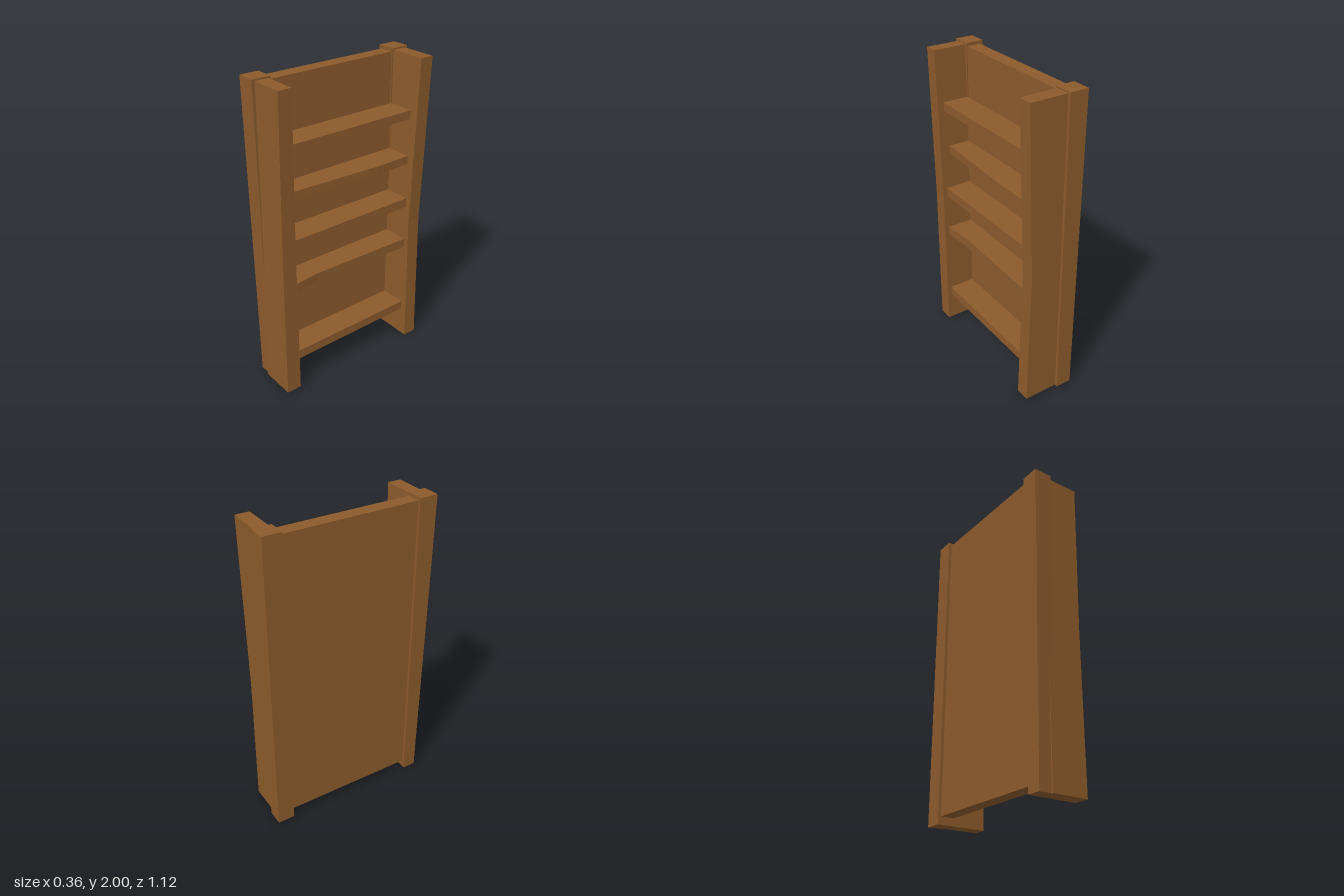
import * as THREE from 'three';

export function createModel() {
  const group = new THREE.Group();
  const wood = new THREE.MeshStandardMaterial({ color: 0x8b5a2b });
  wood.name = 'brownWood';

  function add(name, geometry) {
    const flat = geometry.toNonIndexed();
    flat.computeVertexNormals();
    const mesh = new THREE.Mesh(flat, wood);
    mesh.name = name;
    group.add(mesh);
  }

  // Upright timber from rectangular sections [y, xBack, xFront, zMin, zMax], bottom to top
  function upright(name, sections) {
    const n = sections.length - 1;
    const geo = new THREE.BoxGeometry(1, 1, 1, 1, n, 1);
    const p = geo.attributes.position;
    for (let i = 0; i < p.count; i++) {
      const [y, x0, x1, z0, z1] = sections[Math.round((p.getY(i) + 0.5) * n)];
      p.setXYZ(i, p.getX(i) < 0 ? x0 : x1, y, p.getZ(i) < 0 ? z0 : z1);
    }
    add(name, geo);
  }

  // Shelf whose front edge follows points [z, xFront], from right end to left end
  function shelf(name, y0, y1, edge) {
    const n = edge.length - 1;
    const geo = new THREE.BoxGeometry(1, 1, 1, 1, 1, n);
    const p = geo.attributes.position;
    for (let i = 0; i < p.count; i++) {
      const [z, x] = edge[Math.round((p.getZ(i) + 0.5) * n)];
      p.setXYZ(i, p.getX(i) < 0 ? -0.08 : x, p.getY(i) < 0 ? y0 : y1, z);
    }
    add(name, geo);
  }

  // Rear corner posts
  upright('leftPost', [
    [0, -0.18, -0.077, 0.44, 0.53],
    [2, -0.18, -0.062, 0.435, 0.555],
  ]);
  upright('rightPost', [
    [0, -0.18, -0.075, -0.56, -0.447],
    [2, -0.18, -0.062, -0.56, -0.44],
  ]);

  // Side boards with a slightly hollowed front edge
  upright('leftSide', [
    [0, -0.1, 0.133, 0.443, 0.542],
    [1, -0.1, 0.133, 0.446, 0.5385],
    [1.99, -0.1, 0.152, 0.449, 0.535],
  ]);
  upright('rightSide', [
    [0, -0.1, 0.152, -0.54, -0.448],
    [0.9, -0.1, 0.135, -0.54, -0.45],
    [1.99, -0.1, 0.176, -0.54, -0.45],
  ]);

  // Back panel
  upright('backPanel', [
    [0.05, -0.16, -0.07, -0.455, 0.455],
    [1.98, -0.16, -0.07, -0.455, 0.455],
  ]);

  // Shelves, two of them with a worn front edge
  const straight = [[-0.455, 0.105], [0.455, 0.105]];
  [
    [0.2, 0.26, straight],
    [0.7, 0.76, [[-0.455, 0.105], [0.25, 0.085], [0.455, 0.105]]],
    [1.0, 1.06, straight],
    [1.3, 1.355, [[-0.455, 0.1], [-0.2, 0.105], [0.455, 0.07]]],
    [1.6, 1.655, straight],
  ].forEach(([y0, y1, edge], i) => shelf('shelf' + (i + 1), y0, y1, edge));

  return group;
}
